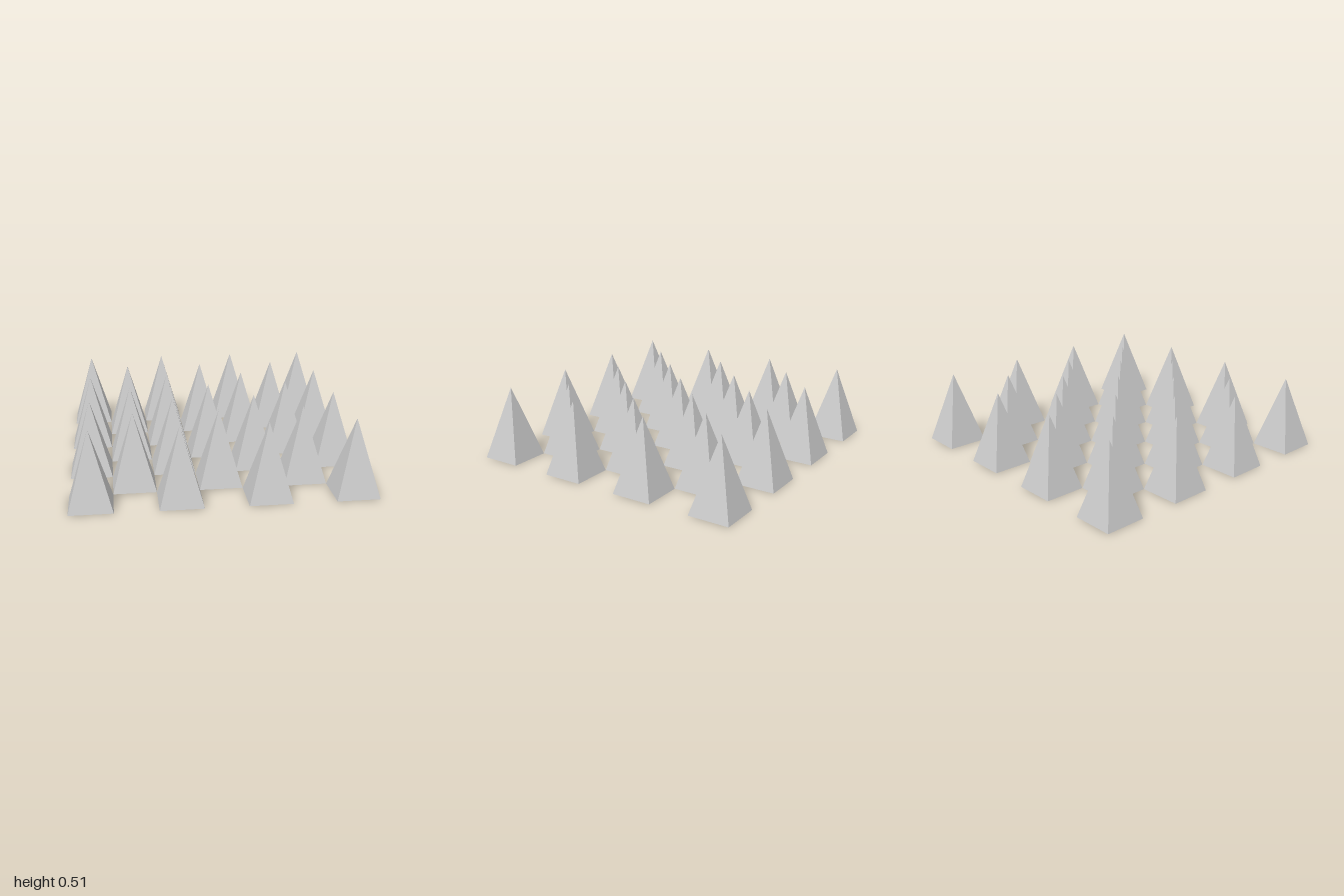
import * as THREE from 'three';

export function createModel() {
  const group = new THREE.Group();
  group.name = 'spikeField';

  const count = 7;          // cells per side
  const cell = 2 / count;   // base width of one spike
  const height = 0.51;

  // Hollow four-sided pyramid, open underneath, sides aligned with the axes
  const spike = new THREE.ConeGeometry(cell / Math.SQRT2, height, 4, 1, true, Math.PI / 4);
  spike.translate(0, height / 2, 0);
  const material = new THREE.MeshStandardMaterial({
    color: 0xcccccc,
    flatShading: true,
    side: THREE.DoubleSide,
  });

  // Spikes on every other cell, like a chequerboard
  for (let row = 0; row < count; row++) {
    for (let col = row % 2; col < count; col += 2) {
      const mesh = new THREE.Mesh(spike, material);
      mesh.name = `spike_${row}_${col}`;
      mesh.position.set((col - 3) * cell, 0, (row - 3) * cell);
      group.add(mesh);
    }
  }
  return group;
}
